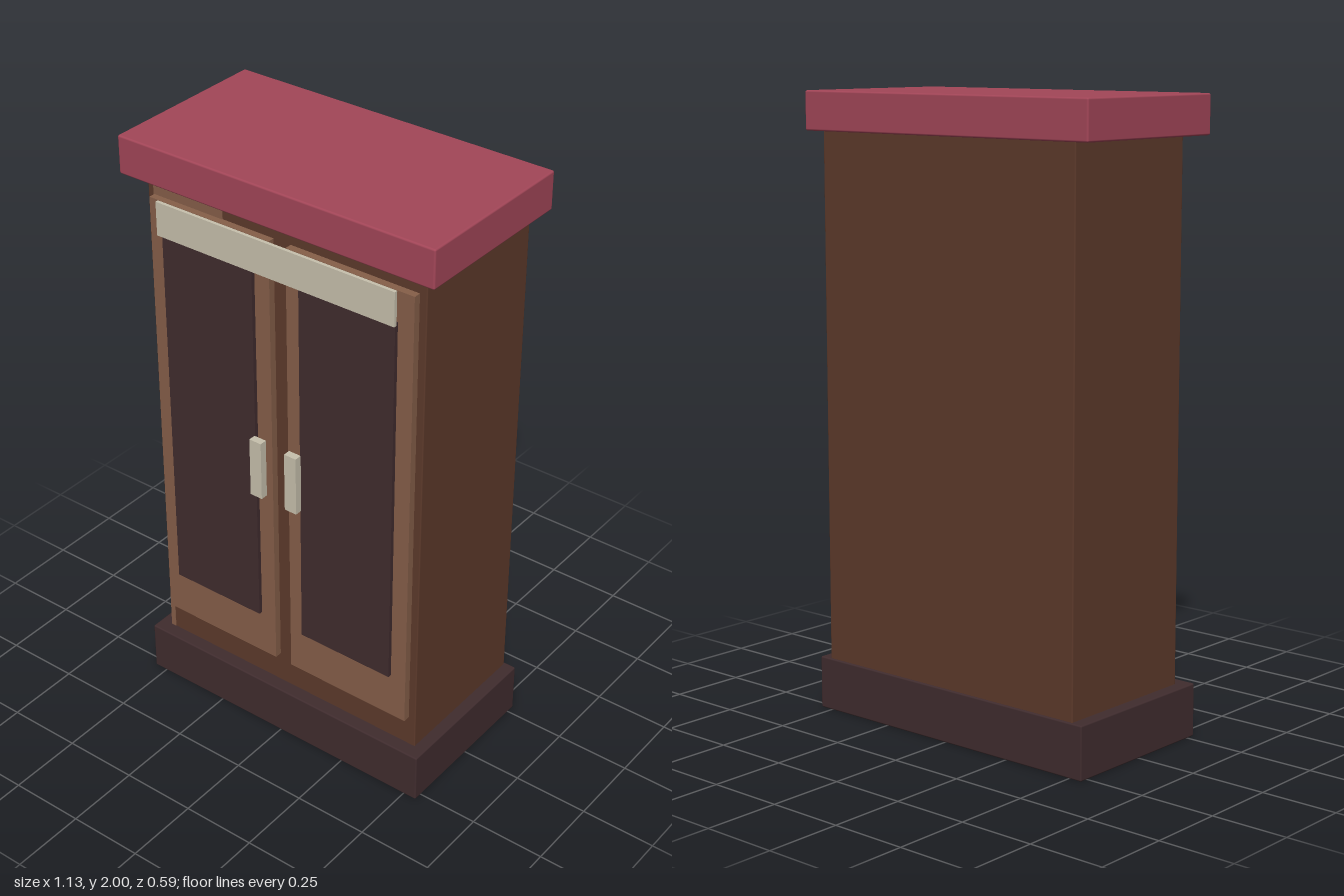
import * as THREE from 'three';
import { RoundedBoxGeometry } from 'three/addons/geometries/RoundedBoxGeometry.js';

export function createModel() {
  const model = new THREE.Group();
  model.name = 'wardrobe';

  const material = (name, color) => {
    const m = new THREE.MeshStandardMaterial({ color });
    m.name = name;
    return m;
  };
  const red = material('redPaint', 0xa34658);
  const brown = material('brownWood', 0x5d3a2b);
  const lightBrown = material('lightBrownWood', 0x865f49);
  const dark = material('darkWood', 0x402c2e);
  const cream = material('creamTrim', 0xc8c1ad);

  // Box given by its limits on each axis, with optional softened edges
  const box = (name, mat, [x0, x1], [y0, y1], [z0, z1], bevel = 0) => {
    const w = x1 - x0, h = y1 - y0, d = z1 - z0;
    const geometry = bevel
      ? new RoundedBoxGeometry(w, h, d, 2, bevel)
      : new THREE.BoxGeometry(w, h, d);
    const mesh = new THREE.Mesh(geometry, mat);
    mesh.name = name;
    mesh.position.set((x0 + x1) / 2, (y0 + y1) / 2, (z0 + z1) / 2);
    model.add(mesh);
  };

  // Carcass
  box('base', dark, [-0.547, 0.547], [0, 0.172], [-0.281, 0.281], 0.005);
  box('body', brown, [-0.507, 0.507], [0.165, 1.88], [-0.274, 0.235], 0.004);
  box('top', red, [-0.567, 0.567], [1.875, 2], [-0.294, 0.291], 0.006);

  // Doors with inset panels and handles, mirrored
  for (const side of [-1, 1]) {
    const label = side > 0 ? 'left' : 'right';
    const span = (a, b) => (side > 0 ? [a, b] : [-b, -a]);
    box(label + 'Door', lightBrown, span(0.031, 0.482), [0.28, 1.812], [0.234, 0.259]);
    box(label + 'DoorPanel', dark, span(0.086, 0.427), [0.44, 1.712], [0.258, 0.272]);
    box(label + 'Handle', cream, span(0.045, 0.089), [0.926, 1.129], [0.272, 0.297]);
  }

  // Trim rail across the door tops
  box('trimRail', cream, [-0.434, 0.434], [1.71, 1.822], [0.275, 0.286]);

  // Worn light patches on the front frame
  box('upperWornPatch', lightBrown, [-0.485, -0.22], [1.8, 1.875], [0.232, 0.237]);
  box('lowerWornPatch', lightBrown, [-0.503, -0.485], [0.172, 0.3], [0.232, 0.237]);

  return model;
}
